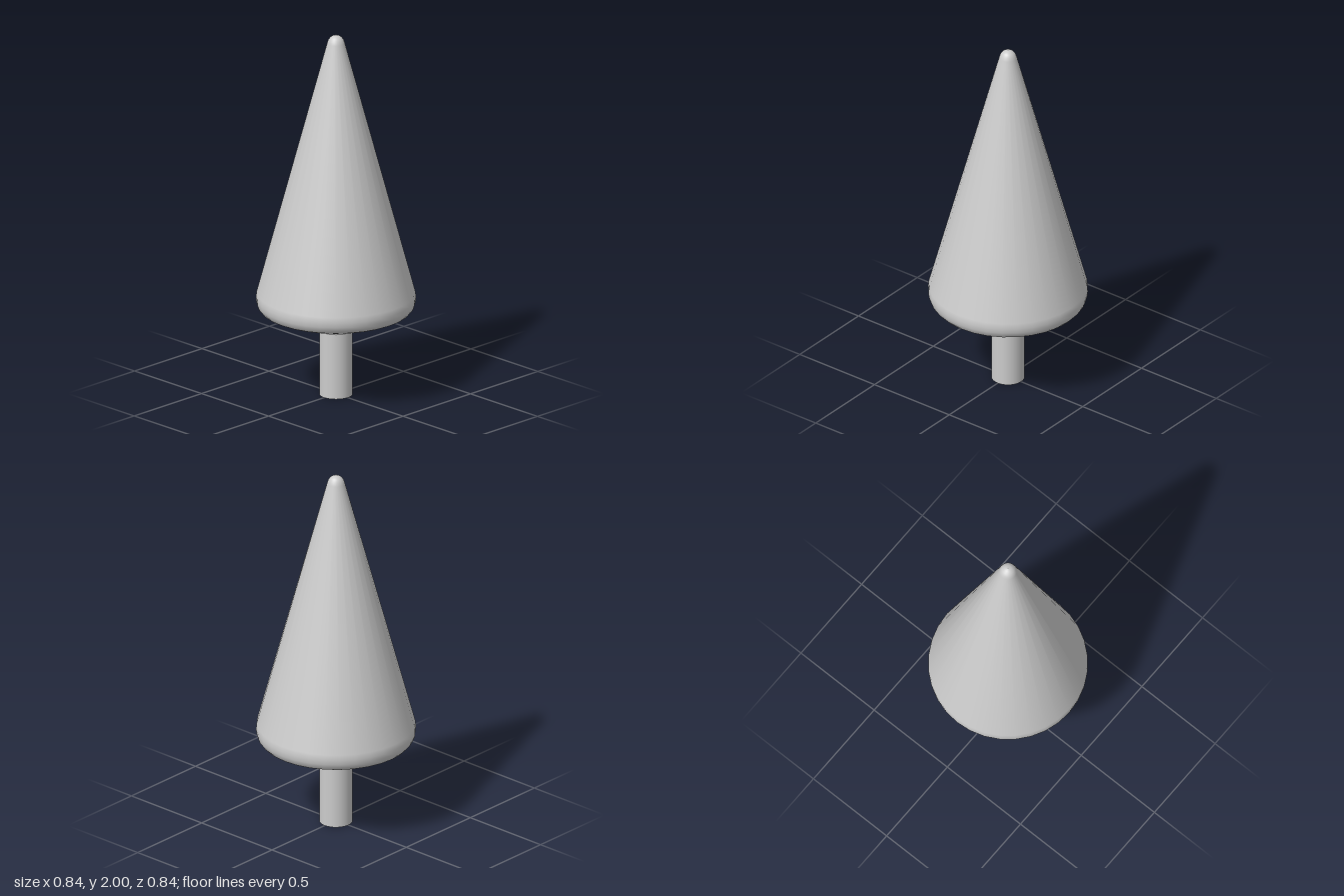
import * as THREE from 'three';

const SIDES = 32;

export function createModel() {
  const group = new THREE.Group();
  const material = new THREE.MeshStandardMaterial({ color: 0xcccccc });

  // Foliage: a cone with a rounded skirt and tip, closed underneath
  const profile = [
    [0, 0.465], [0.36, 0.465], [0.378, 0.468], [0.397, 0.477], [0.411, 0.493],
    [0.419, 0.515], [0.421, 0.54], [0.418, 0.57],
    [0.047, 1.955], [0.041, 1.974], [0.031, 1.988], [0.017, 1.997], [0, 2],
  ].map(([r, y]) => new THREE.Vector2(r, y));
  const foliage = new THREE.Mesh(new THREE.LatheGeometry(profile, SIDES), material);
  foliage.name = 'foliage';
  group.add(foliage);

  // Trunk: a short capped post standing clear below the foliage
  const trunk = new THREE.Mesh(new THREE.CylinderGeometry(0.088, 0.088, 0.36, SIDES), material);
  trunk.name = 'trunk';
  trunk.position.y = 0.18;
  group.add(trunk);

  return group;
}
